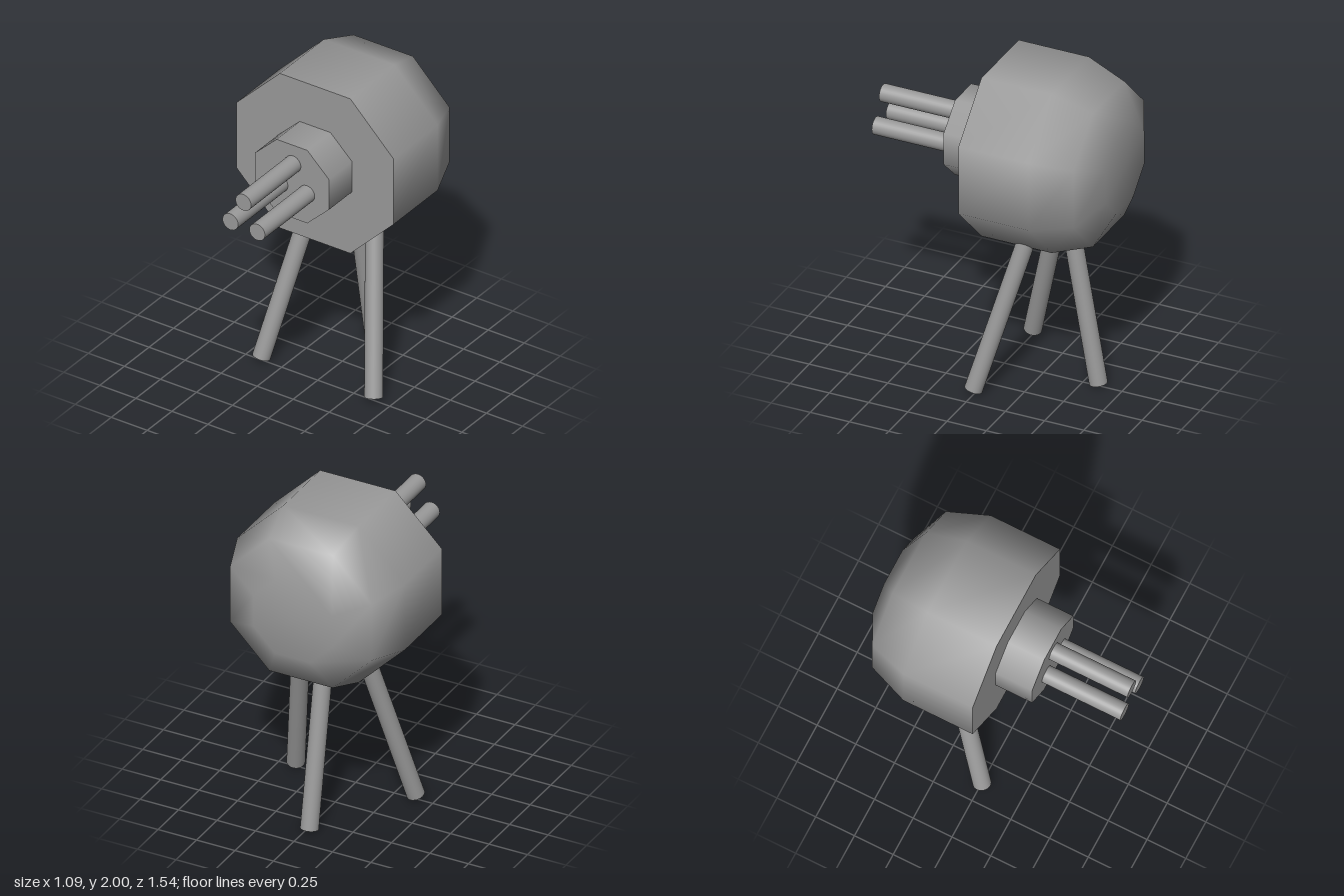
import * as THREE from 'three';

const material = new THREE.MeshStandardMaterial({ color: 0x9a9a9a });
const CENTER_Y = 1.478; // height of the head's axis
const SQUASH = 0.957; // the head is slightly wider than tall
const TO_CORNER = 1 / Math.cos(Math.PI / 8); // octagon flat to corner radius

function addMesh(parent, name, geometry) {
  const mesh = new THREE.Mesh(geometry, material);
  mesh.name = name;
  parent.add(mesh);
  return mesh;
}

// Round bar between two points
function addRod(parent, name, from, to, radius) {
  const a = new THREE.Vector3(...from);
  const b = new THREE.Vector3(...to);
  const dir = b.clone().sub(a);
  const rod = addMesh(parent, name, new THREE.CylinderGeometry(radius, radius, dir.length(), 32));
  rod.position.copy(a).add(b).multiplyScalar(0.5);
  rod.quaternion.setFromUnitVectors(new THREE.Vector3(0, 1, 0), dir.normalize());
}

// Lengthen the top, bottom and side edges of an octagon a little
function widenFlats(geometry) {
  const p = geometry.attributes.position;
  for (let i = 0; i < p.count; i++) {
    const x = p.getX(i);
    const y = p.getY(i);
    if (Math.abs(y) > Math.abs(x)) p.setX(i, x * 1.085);
    else p.setY(i, y * 1.02);
  }
  return geometry;
}

export function createModel() {
  const model = new THREE.Group();
  model.name = 'tripodTurret';

  // Octagonal head, its axis along z
  const head = new THREE.Group();
  head.name = 'head';
  head.position.y = CENTER_Y;
  head.scale.y = SQUASH;
  model.add(head);

  // Shell with a two-step bevel at the back: [flat radius, z]
  const profile = [[0, -0.768], [0.255, -0.768], [0.46, -0.665], [0.545, -0.42], [0.545, 0.027]]
    .map(([r, z]) => new THREE.Vector2(r * TO_CORNER, z));
  const shell = new THREE.LatheGeometry(profile, 8, Math.PI / 8).rotateX(Math.PI / 2);
  addMesh(head, 'shell', widenFlats(shell));

  // Flat front of the shell
  const face = new THREE.CircleGeometry(0.545 * TO_CORNER, 8, Math.PI / 8);
  addMesh(head, 'frontPlate', widenFlats(face)).position.z = 0.027;

  // Octagonal mount for the barrels
  const mountRadius = 0.257 * TO_CORNER;
  const mount = new THREE.CylinderGeometry(mountRadius, mountRadius, 0.26, 8, 1, false, Math.PI / 8)
    .rotateX(Math.PI / 2);
  addMesh(head, 'barrelMount', mount).position.z = 0.132;

  // Three barrels
  const barrels = [[0.008, 1.598], [-0.082, 1.436], [0.104, 1.431]];
  for (const [x, y] of barrels) {
    addRod(model, 'barrel', [x, y, 0.2], [x, y, 0.768], 0.054);
  }

  // Splayed tripod legs, their tops inside the shell
  addRod(model, 'leftLeg', [0.392, 0.028, 0.006], [0.203, 1.1, -0.28], 0.054);
  addRod(model, 'rightLeg', [-0.387, 0.028, 0.006], [-0.193, 1.1, -0.28], 0.054);
  addRod(model, 'backLeg', [-0.016, 0.01, -0.592], [-0.016, 1.1, -0.4], 0.054);

  return model;
}
